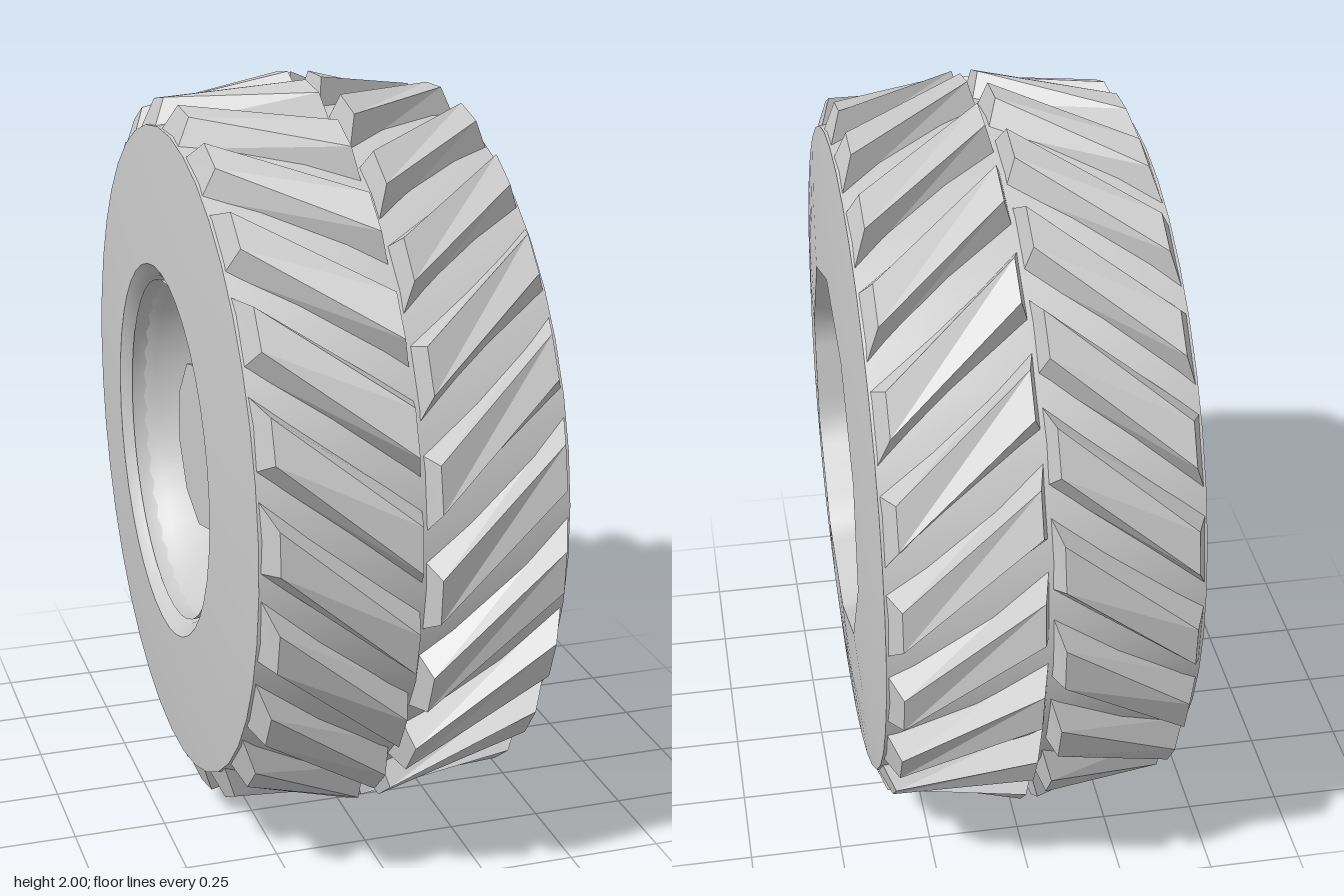
import * as THREE from 'three';
import { mergeGeometries, toCreasedNormals } from 'three/addons/utils/BufferGeometryUtils.js';

const SEGMENTS = 40;
const LUGS = 22;
const PITCH = (Math.PI * 2) / LUGS;
const TWIST = 0.3;
const rad = THREE.MathUtils.degToRad;

// Revolves [radius, x] points about the x axis; rows inside sidedRadius become ten-sided
function revolve(profile, sidedRadius) {
  const points = profile.map(([r, x]) => new THREE.Vector2(r, x));
  const geo = new THREE.LatheGeometry(points, SEGMENTS, rad(22.2));
  const pos = geo.attributes.position;
  const rows = profile.length;
  for (let i = 0; i < pos.count; i++) {
    if (profile[i % rows][0] > sidedRadius) continue;
    const a = (Math.floor(i / rows) % 4) * rad(9) - rad(18);
    const k = Math.cos(rad(18)) / Math.cos(a);
    pos.setX(i, pos.getX(i) * k);
    pos.setZ(i, pos.getZ(i) * k);
  }
  geo.rotateZ(-Math.PI / 2);
  return toCreasedNormals(geo, 0.7);
}

// One slanted tread block: a box whose corners are placed by x, radius and angle
function lug(side, outerAngle) {
  const geo = new THREE.BoxGeometry(1, 1, 1);
  const pos = geo.attributes.position;
  for (let i = 0; i < pos.count; i++) {
    const outer = pos.getX(i) * side > 0;
    const top = pos.getY(i) > 0;
    const x = outer ? (top ? 0.365 : 0.397) : (top ? 0.025 : 0.002);
    const r = outer ? (top ? 0.95 : 0.872) : (top ? 1.0 : 0.92);
    const half = PITCH * (top ? 0.21 : 0.37);
    const slant = (TWIST * (0.365 - x)) / 0.34;
    const a = outerAngle + slant + Math.sign(pos.getZ(i)) * half;
    pos.setXYZ(i, side * x, r * Math.cos(a), r * Math.sin(a));
  }
  return geo;
}

export function createModel() {
  const group = new THREE.Group();
  const smooth = new THREE.MeshStandardMaterial({ color: 0xcccccc, side: THREE.DoubleSide });
  const flat = new THREE.MeshStandardMaterial({ color: 0xcccccc, flatShading: true });

  function add(name, geo, material) {
    const mesh = new THREE.Mesh(geo, material);
    mesh.name = name;
    mesh.position.y = 1;
    group.add(mesh);
  }

  // Tread band under the lugs, also seen from inside through the bore
  add('treadBand', revolve([[0.88, -0.4], [0.935, 0], [0.88, 0.4]], 0), smooth);

  // Left sidewall and its open ten-sided bore
  add('leftSidewall', revolve([
    [0.88, 0.4], [0.7, 0.415], [0.51, 0.425], [0.465, 0.2],
  ], 0.515), smooth);

  // Right sidewall flowing into a dished rim with a protruding ten-sided hub
  add('rightSidewallAndHub', revolve([
    [0, -0.32], [0.235, -0.32], [0.24, -0.19], [0.33, -0.2],
    [0.4, -0.25], [0.45, -0.335], [0.475, -0.395], [0.51, -0.425],
    [0.7, -0.415], [0.88, -0.4],
  ], 0.3), smooth);

  // Domed back of the rim
  const dome = new THREE.SphereGeometry(0.465, SEGMENTS, 12, 0, Math.PI * 2, 0, Math.PI / 2);
  dome.scale(1, 0.7, 1).rotateZ(-Math.PI / 2).translate(-0.4, 0, 0);
  add('rimBack', dome, smooth);

  // Two rows of chevron lugs, staggered by half a pitch
  for (const side of [1, -1]) {
    const start = rad(78) + (side < 0 ? PITCH / 2 : 0);
    const lugs = [];
    for (let i = 0; i < LUGS; i++) lugs.push(lug(side, start + i * PITCH));
    add(side > 0 ? 'leftTreadLugs' : 'rightTreadLugs', mergeGeometries(lugs), flat);
  }
  return group;
}
